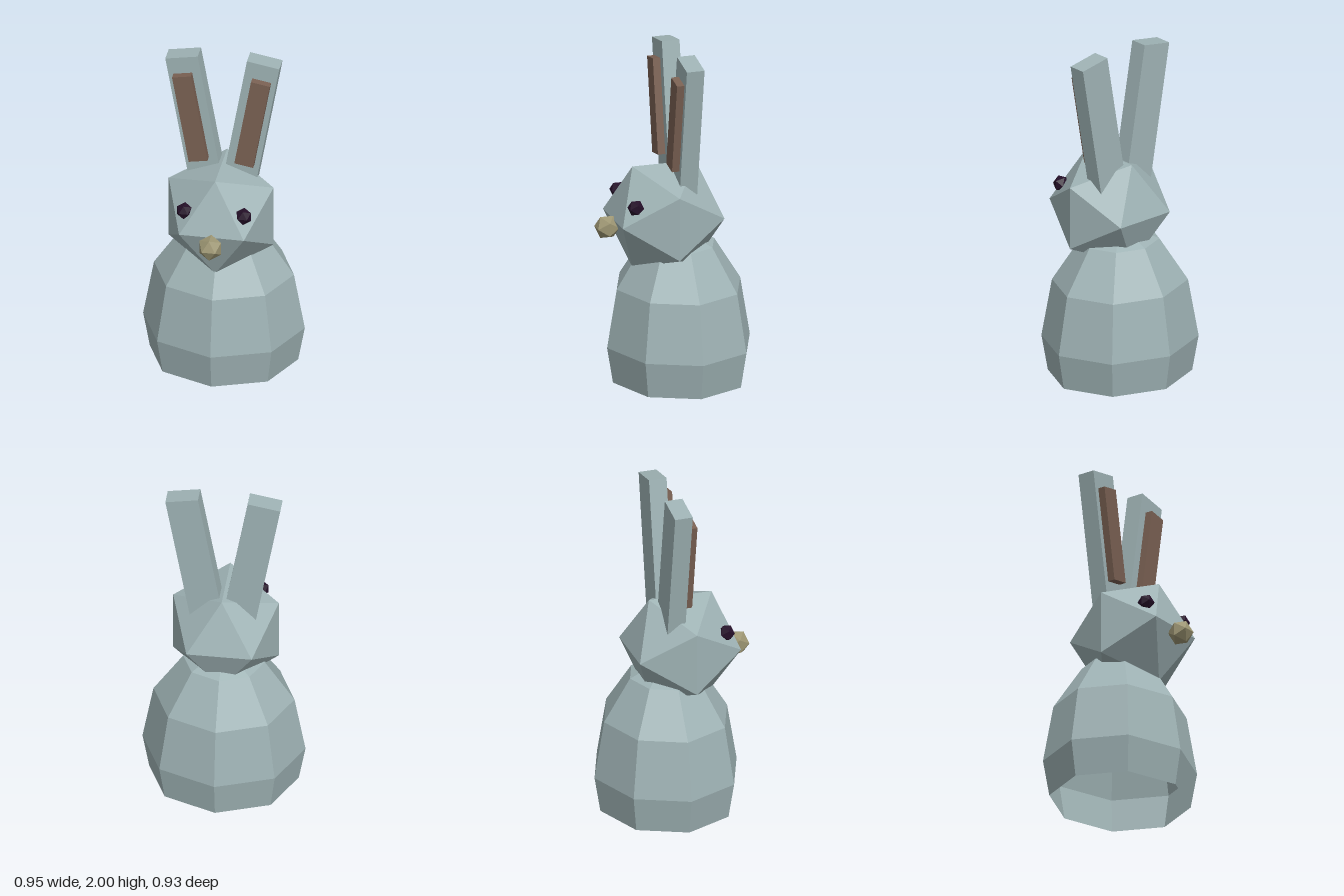
import * as THREE from 'three';

const flat = (name, color, side = THREE.FrontSide) => {
  const m = new THREE.MeshStandardMaterial({ color, flatShading: true, side });
  m.name = name;
  return m;
};

export function createModel() {
  const fur = flat('greyBlueFur', 0x9fb3b5);
  const openFur = fur;
  fur.side = THREE.DoubleSide;
  const brown = flat('innerEarBrown', 0x7a6153);
  const tan = flat('noseTan', 0x9d9673);
  const dark = flat('eyeDark', 0x240f28);

  const model = new THREE.Group();
  model.name = 'rabbit';

  const add = (name, geometry, material, x, y, z, rotZ = 0) => {
    const mesh = new THREE.Mesh(geometry, material);
    mesh.name = name;
    mesh.position.set(x, y, z);
    mesh.rotation.z = rotZ;
    model.add(mesh);
    return mesh;
  };
  // Icosahedron turned so a horizontal edge crosses the front of each side
  const ico = (r) => new THREE.IcosahedronGeometry(r, 0).rotateY(Math.PI / 2);

  // Body: eight-sided egg, open where it meets the ground
  const profile = [[0.436, 0], [0.475, 0.215], [0.411, 0.565], [0.2375, 0.821], [0, 0.915]]
    .map(([r, y]) => new THREE.Vector2(r, y));
  add('body', new THREE.LatheGeometry(profile, 8), openFur, 0, 0, -0.034).scale.z = 0.91;

  // Head and nose
  add('head', ico(0.362), fur, 0, 1.0, 0.055);
  add('nose', ico(0.075), tan, 0, 0.955, 0.4);

  // Ears lean outwards, each with a raised inner strip; eyes sit in the head facets
  const lean = THREE.MathUtils.degToRad(10);
  for (const [side, s] of [['left', 1], ['right', -1]]) {
    add(side + 'Ear', new THREE.BoxGeometry(0.193, 0.85, 0.107), fur, s * 0.166, 1.566, -0.033, -s * lean);
    add(side + 'InnerEar', new THREE.BoxGeometry(0.112, 0.564, 0.054), brown, s * 0.183, 1.603, 0.038, -s * lean);
    add(side + 'Eye', ico(0.05), dark, s * 0.174, 1.114, 0.279);
  }
  return model;
}
